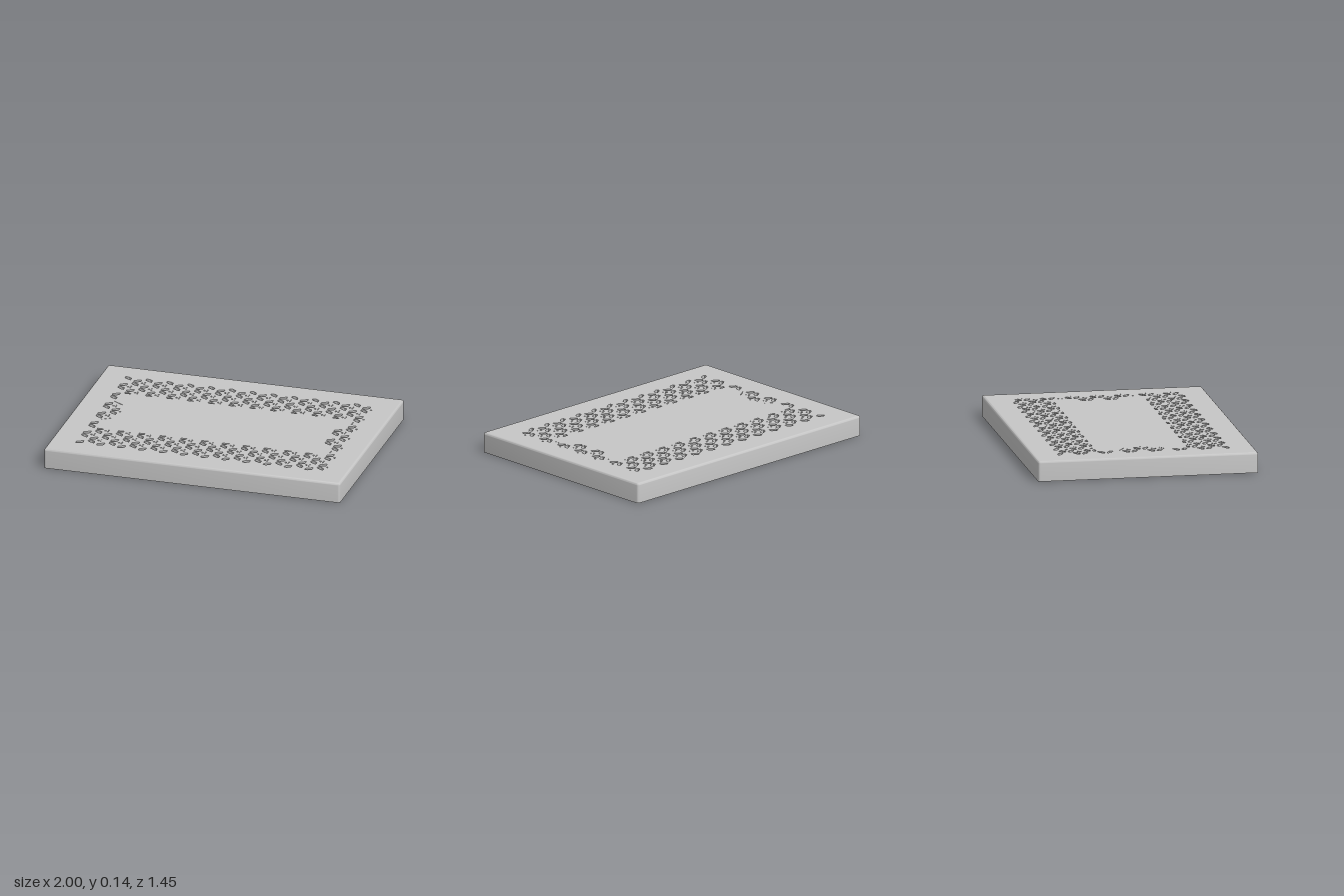
import * as THREE from 'three';
import { toCreasedNormals } from 'three/addons/utils/BufferGeometryUtils.js';

const HX = 1, HZ = 0.725, H = 0.135, WALL = 0.02, EDGE = 0.015, PLATE = 0.03;
const PX = 0.00535; // unit of the small pattern

// points of a rounded rectangle inset from the outer size
function outline(inset) {
  const r = Math.max(EDGE - inset, 0.003), pts = [];
  [[1, 1], [-1, 1], [-1, -1], [1, -1]].forEach(([sx, sz], k) => {
    for (let i = 0; i <= 4; i++) {
      const a = (k + i / 4) * Math.PI / 2;
      pts.push([sx * (HX - inset - r) + r * Math.cos(a), sz * (HZ - inset - r) + r * Math.sin(a)]);
    }
  });
  return pts;
}

// skirt wall with a rounded upper edge
function skirtGeometry() {
  const profile = [[WALL, H - PLATE], [WALL, 0], [0, 0]];
  for (let i = 0; i <= 5; i++) {
    const a = i / 5 * Math.PI / 2;
    profile.push([EDGE * (1 - Math.cos(a)), H - EDGE + EDGE * Math.sin(a)]);
  }
  const pos = [], idx = [], n = 20;
  profile.forEach(([inset, y], i) => {
    outline(inset).forEach(([x, z], j) => {
      pos.push(x, y, z);
      if (i === profile.length - 1) return;
      const a = i * n + j, b = i * n + (j + 1) % n;
      idx.push(a, a + n, b, b, a + n, b + n);
    });
  });
  const g = new THREE.BufferGeometry();
  g.setAttribute('position', new THREE.Float32BufferAttribute(pos, 3));
  g.setIndex(idx);
  return toCreasedNormals(g, 0.7);
}

// keep the pattern out of the solid centre field
function clampPoint([x, z]) {
  const ax = Math.abs(x), az = Math.abs(z);
  if (az >= 0.3) return [x, z];
  if (az > 0.25 && ax < 0.775) return [x, Math.sign(z) * 0.3];
  const edge = Math.min(0.785, Math.max(0.685, 0.69 + (az - 0.1) * 1.73));
  return [Math.sign(x) * Math.max(ax, edge), z];
}

function toHole(points) {
  const v = points.map(clampPoint).map(([x, z]) => new THREE.Vector2(x, -z));
  const pts = v.filter((p, i) => p.distanceTo(v[(i + 1) % v.length]) > 1e-4);
  return pts.length > 2 && Math.abs(THREE.ShapeUtils.area(pts)) > 2.5e-5 ? new THREE.Path(pts) : null;
}

// chevron pairs with small diamonds, on a staggered grid
function patternHoles() {
  const petal = [[-4.5, 1.5], [-0.5, 1.5], [4, 4.5], [4, 9.5], [1.5, 8.7], [-4.5, 5]];
  const diamonds = [[7, 0, 1.5], [10.5, 2.2, 1.1], [10.5, -2.2, 1.1]];
  const holes = [];
  const add = pts => {
    const h = toHole(pts);
    if (h) holes.push(h);
  };
  for (let c = 0; c < 24; c++) {
    const x = -0.809 + c * 0.0703;
    for (let r = -7; r <= 7; r++) {
      if ((r + c) % 2 === 0) continue;
      const z = r * 0.0817;
      if (Math.abs(z) < 0.3 && Math.abs(x) < 0.72) continue;
      for (const s of [-1, 1]) {
        if (Math.abs(z + s * 5 * PX) > 0.572) continue;
        add(petal.map(([px, pz]) => [x + px * PX, z + s * pz * PX]));
      }
      if (Math.abs(r) === 7) continue;
      for (const [dx, dz, d] of diamonds) {
        const cx = x + dx * PX, cz = z + dz * PX, q = d * PX;
        if (cx < 0.85) add([[cx + q, cz], [cx, cz + q], [cx - q, cz], [cx, cz - q]]);
      }
    }
  }
  return holes;
}

// honeycomb pockets under the centre field
function pocketHoles() {
  const holes = [], R = 0.094;
  for (const [z, n] of [[-0.2, 7], [0, 6], [0.2, 7]]) {
    for (let i = 0; i < n; i++) {
      const x = (i - (n - 1) / 2) * 0.23, pts = [];
      for (let k = 0; k < 6; k++) {
        const a = (k + 0.5) * Math.PI / 3;
        pts.push(new THREE.Vector2(x + R * Math.cos(a), -z + R * Math.sin(a)));
      }
      holes.push(new THREE.Path(pts));
    }
  }
  return holes;
}

function plateGeometry(holes, y, depth) {
  const shape = new THREE.Shape(outline(EDGE).map(([x, z]) => new THREE.Vector2(x, z)));
  shape.holes = holes;
  const g = new THREE.ExtrudeGeometry(shape, { depth, bevelEnabled: false });
  return g.rotateX(-Math.PI / 2).translate(0, y, 0);
}

export function createModel() {
  const model = new THREE.Group();
  const grey = new THREE.MeshStandardMaterial({ color: 0xc6c6c6 });
  grey.name = 'plain grey';
  const add = (name, geometry) => {
    const m = new THREE.Mesh(geometry, grey);
    m.name = name;
    model.add(m);
    return m;
  };

  add('skirtWall', skirtGeometry());
  const holes = patternHoles();
  add('topPlate', plateGeometry(holes, H - PLATE / 2, PLATE / 2));
  add('honeycombLayer', plateGeometry([...holes, ...pocketHoles()], H - PLATE, PLATE / 2));

  // snap bumps on the inner long walls
  for (const sx of [-1, 1]) for (const sz of [-1, 1]) {
    add('snapBump', new THREE.SphereGeometry(0.021, 16, 12)).position.set(sx * 0.595, 0.056, sz * (HZ - WALL - 0.002));
  }
  return model;
}
